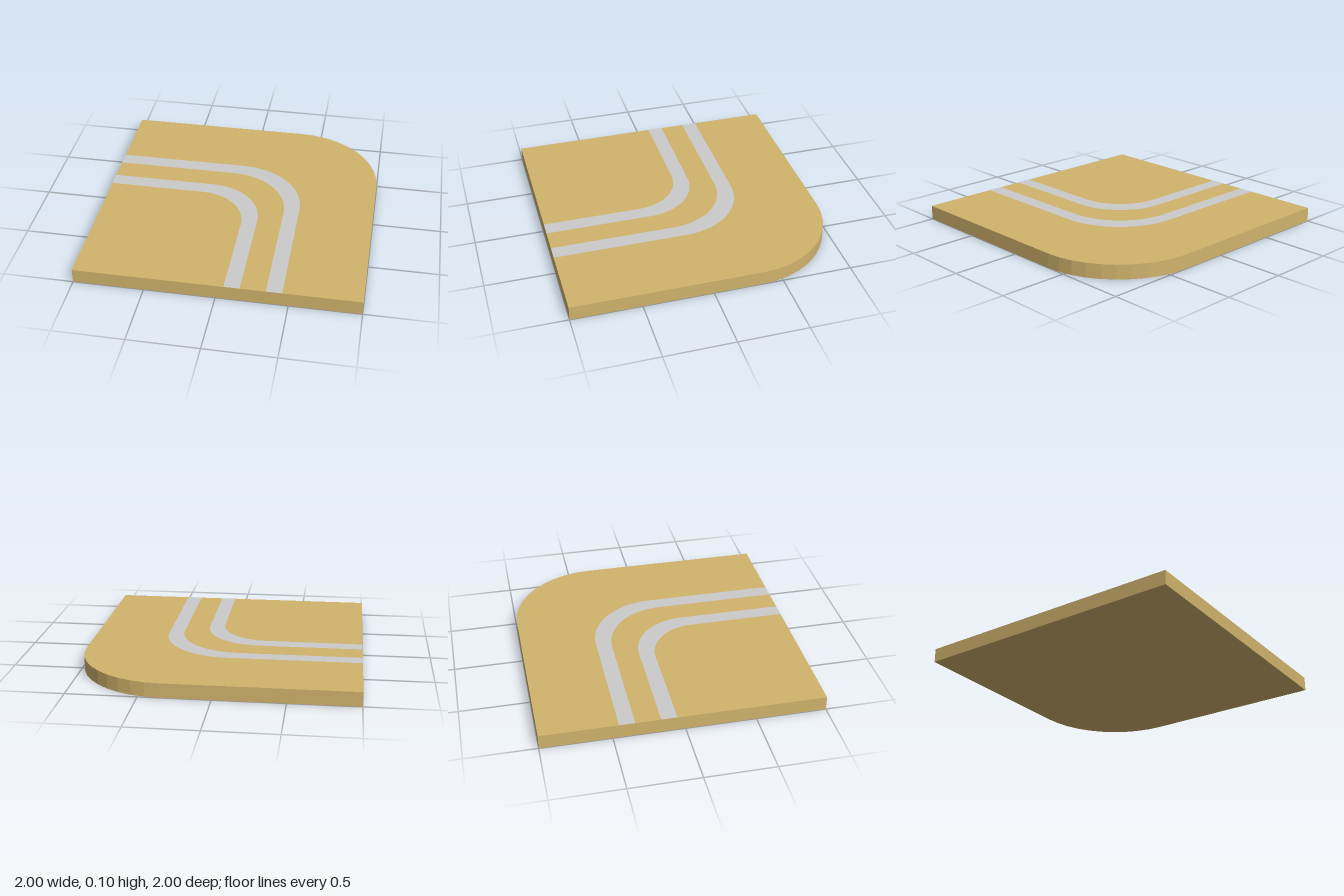
import * as THREE from 'three';

const HEIGHT = 0.104;
const LIFT = 0.001; // keeps the markings clear of the slab surface

// Quarter bend from the -x edge to the front edge: legs at x = edge and z = -edge, rounded corner
function bendPoints(edge, radius, segments) {
  const points = [new THREE.Vector2(-1, edge)];
  const c = edge - radius;
  for (let i = 0; i <= segments; i++) {
    const a = (Math.PI / 2) * (1 - i / segments);
    points.push(new THREE.Vector2(c + radius * Math.cos(a), c + radius * Math.sin(a)));
  }
  points.push(new THREE.Vector2(edge, -1));
  return points;
}

function addMesh(group, name, geometry, color, y) {
  geometry.rotateX(-Math.PI / 2);
  const mesh = new THREE.Mesh(geometry, new THREE.MeshStandardMaterial({ color }));
  mesh.name = name;
  mesh.position.y = y;
  group.add(mesh);
}

export function createModel() {
  const group = new THREE.Group();
  group.name = 'roadCornerTile';

  // Slab with one rounded corner and faceted rim
  const outline = [...bendPoints(1, 0.65, 10), new THREE.Vector2(-1, -1)];
  const slab = new THREE.ExtrudeGeometry(new THREE.Shape(outline), { depth: HEIGHT, bevelEnabled: false });
  addMesh(group, 'slab', slab, 0xd1b36c, 0);

  // Two curved bands laid flush on the top
  const bands = [
    { name: 'outerBand', outer: [0.457, 0.5], inner: [0.346, 0.45] },
    { name: 'innerBand', outer: [0.169, 0.4], inner: [0.058, 0.35] },
  ];
  for (const { name, outer, inner } of bands) {
    const loop = [...bendPoints(...outer, 16), ...bendPoints(...inner, 16).reverse()];
    addMesh(group, name, new THREE.ShapeGeometry(new THREE.Shape(loop)), 0xcccccc, HEIGHT + LIFT);
  }
  return group;
}
